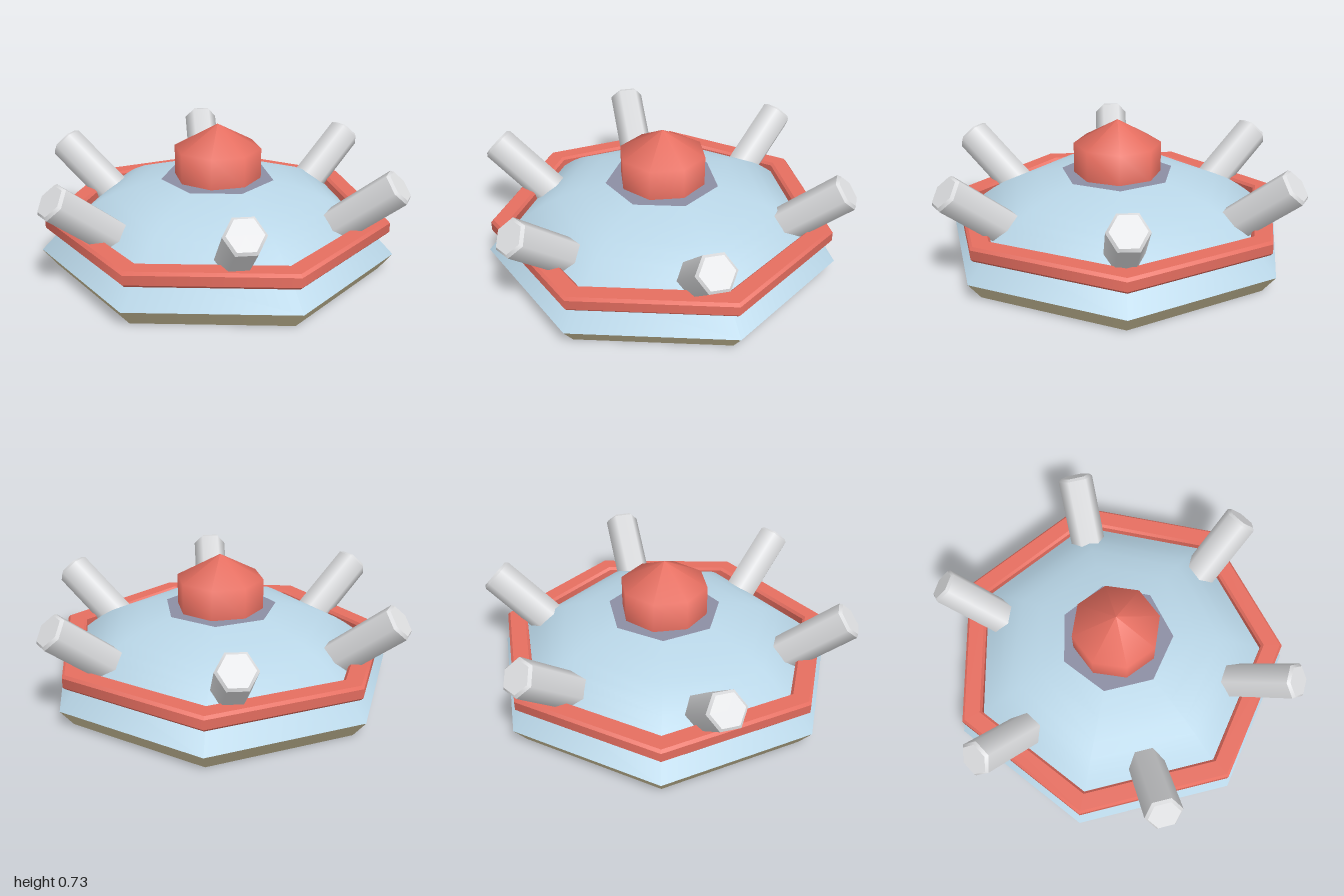
import * as THREE from 'three';

const mat = (name, color) => new THREE.MeshStandardMaterial({ name, color });

// Revolved profile (bottom to top), smooth; first corner at angle start
function turned(name, points, sides, material, start = Math.PI / 2) {
  const profile = points.map(([r, y]) => new THREE.Vector2(r, y));
  const mesh = new THREE.Mesh(new THREE.LatheGeometry(profile, sides, start), material);
  mesh.name = name;
  return mesh;
}

// Revolved profile with a sharp edge at every point, still smooth around the axis
function creased(name, points, sides, material, start) {
  const group = new THREE.Group();
  group.name = name;
  for (let i = 1; i < points.length; i++) {
    group.add(turned(`${name}Face`, [points[i - 1], points[i]], sides, material, start));
  }
  return group;
}

export function createModel() {
  const blue = mat('pale blue', 0xb9d6e7);
  const red = mat('coral red', 0xe66e60);
  const khaki = mat('khaki', 0xd0c49e);
  const mauve = mat('grey mauve', 0x8c8ea4);
  const grey = mat('light grey', 0xdddee0);

  const model = new THREE.Group();
  model.name = 'turretSaucer';

  // Seven-sided hull
  model.add(
    turned('hullFloor', [[0, 0], [0.87, 0]], 7, mauve),
    turned('lowerRim', [[0.87, 0], [0.938, 0.09]], 7, khaki),
    turned('upperRim', [[0.938, 0.09], [0.8, 0.23]], 7, blue),
    turned('dome', [[0.8, 0.22], [0.75, 0.26], [0.7, 0.297], [0.64, 0.335], [0.56, 0.372], [0.44, 0.411], [0.302, 0.44]],
      7, blue),
    turned('domeCap', [[0.302, 0.44], [0, 0.44]], 7, mauve),
  );

  // Bevelled band around the hull
  model.add(creased('band', [
    [0.81, 0.2], [0.898, 0.2], [0.912, 0.214], [0.912, 0.262], [0.898, 0.276],
    [0.81, 0.276], [0.796, 0.262], [0.796, 0.214], [0.81, 0.2],
  ], 7, red));

  // Eight-sided beacon on top
  model.add(turned('beacon', [[0.23, 0.435], [0.23, 0.6], [0, 0.725]], 8, red));

  // Six slanted hexagonal barrels with chamfered ends
  const length = 0.42, radius = 0.096;
  for (let i = 0; i < 6; i++) {
    const barrel = creased('barrel', [
      [0, 0], [radius, 0], [radius, length], [radius - 0.014, length + 0.014], [0, length + 0.014],
    ], 6, grey, 0);
    barrel.position.set(0.625, 0.24, 0);
    barrel.rotation.z = THREE.MathUtils.degToRad(-50);

    const mount = new THREE.Group();
    mount.name = 'barrelMount';
    mount.rotation.y = (i * Math.PI) / 3;
    mount.add(barrel);
    model.add(mount);
  }
  return model;
}
